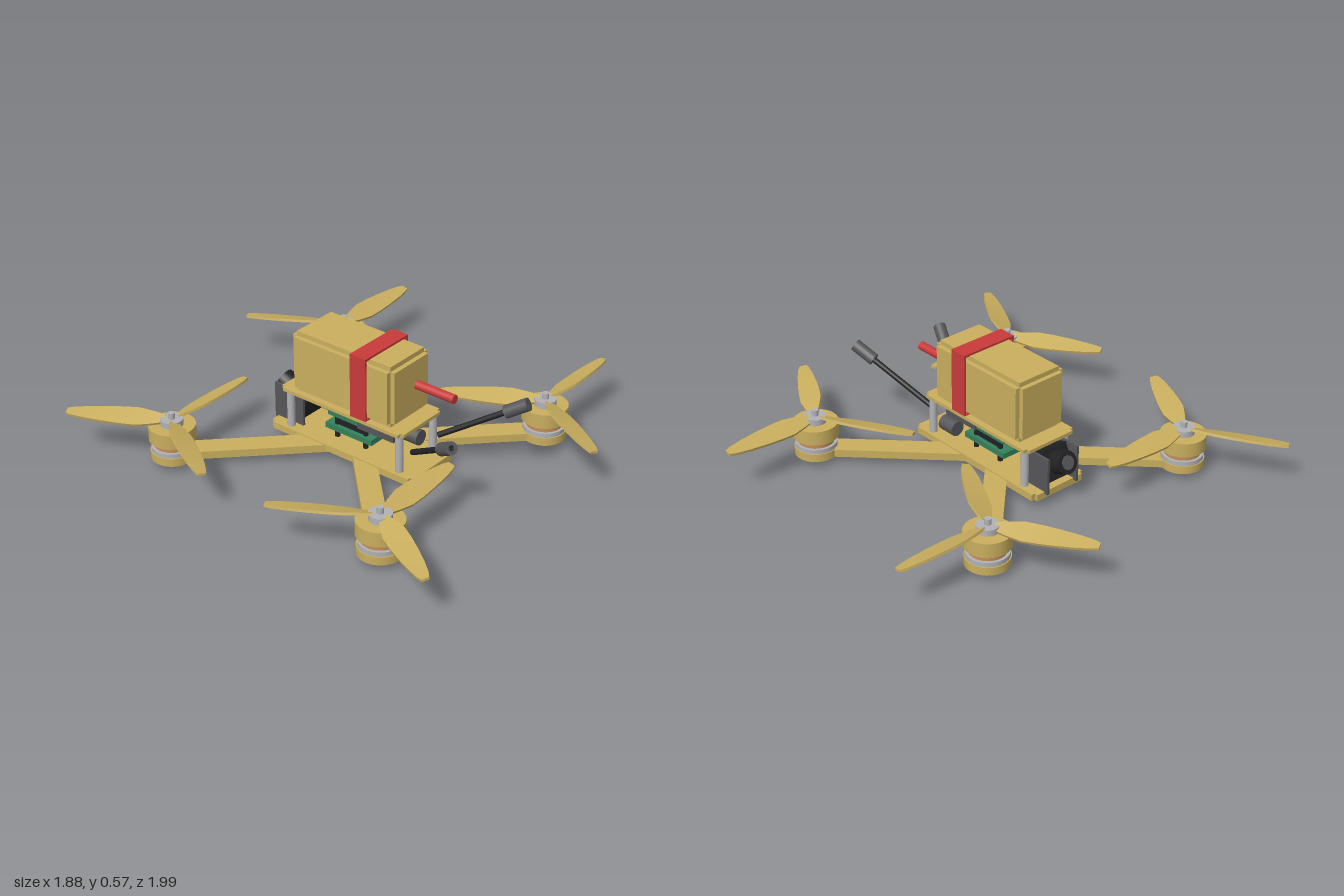
import * as THREE from 'three';

const mat = (name, color) => {
  const m = new THREE.MeshStandardMaterial({ color });
  m.name = name;
  return m;
};

export function createModel() {
  const gold = mat('gold', 0xc9ae5e), silver = mat('silver', 0xb2b2b6), copper = mat('copper', 0xc48d58);
  const red = mat('red', 0xc93a3a), green = mat('green', 0x35805c);
  const grey = mat('darkGrey', 0x56565a), black = mat('black', 0x222224);

  const model = new THREE.Group();
  model.name = 'quadcopter';
  // Everything is laid out around the frame centre, which sits a little to the right
  const drone = new THREE.Group();
  drone.name = 'drone';
  drone.position.x = -0.11;
  model.add(drone);

  const add = (parent, name, geo, material, x = 0, y = 0, z = 0) => {
    const m = new THREE.Mesh(geo, material);
    m.name = name;
    m.position.set(x, y, z);
    parent.add(m);
    return m;
  };
  const box = (parent, name, material, w, h, d, x, y, z) =>
    add(parent, name, new THREE.BoxGeometry(w, h, d), material, x, y, z);
  // Upright cylinder given by its bottom and top heights
  const post = (parent, name, material, r, y0, y1, x = 0, z = 0, sides = 32) =>
    add(parent, name, new THREE.CylinderGeometry(r, r, y1 - y0, sides), material, x, (y0 + y1) / 2, z);
  // Cylinder between two points
  const rod = (parent, name, material, r, a, b, sides = 20) => {
    const d = b.clone().sub(a);
    const m = add(parent, name, new THREE.CylinderGeometry(r, r, d.length(), sides), material);
    m.position.copy(a).lerp(b, 0.5);
    m.quaternion.setFromUnitVectors(new THREE.Vector3(0, 1, 0), d.normalize());
    return m;
  };
  // Plate with square notches in its corners
  const plate = (name, w, d, y0, y1) => {
    const n = 0.018, s = new THREE.Shape(), a = w / 2, b = d / 2;
    [[a, -b + n], [a, b - n], [a - n, b - n], [a - n, b], [-a + n, b], [-a + n, b - n],
      [-a, b - n], [-a, -b + n], [-a + n, -b + n], [-a + n, -b], [a - n, -b], [a - n, -b + n]]
      .forEach(([x, y], i) => (i ? s.lineTo(x, y) : s.moveTo(x, y)));
    const g = new THREE.ExtrudeGeometry(s, { depth: y1 - y0, bevelEnabled: false });
    g.rotateX(-Math.PI / 2);
    return add(drone, name, g, gold, 0, y0, 0);
  };

  // Frame plates, crossed arms and centre bolt
  plate('bottomPlate', 0.3, 0.8, 0.042, 0.074);
  plate('topPlate', 0.29, 0.68, 0.252, 0.268);
  for (const s of [1, -1]) {
    const arm = box(drone, 'crossArm', gold, 1.64, 0.036, 0.1, 0, 0.05, 0);
    arm.rotation.y = s * Math.PI / 4;
  }
  post(drone, 'boltHead', black, 0.05, 0, 0.025);
  post(drone, 'boltShaft', black, 0.03, 0.02, 0.09);
  for (const x of [-0.117, 0.117]) for (const z of [-0.3, 0.31])
    post(drone, 'standoff', silver, 0.018, 0.07, 0.255, x, z, 16);

  // Tapered, twisted propeller blade along +x
  const widths = [[0.03, 0.02], [0.08, 0.034], [0.15, 0.049], [0.22, 0.049], [0.3, 0.044],
    [0.38, 0.036], [0.44, 0.026], [0.47, 0.016]];
  const bladeGeometry = (pitch) => {
    const n = widths.length - 1;
    const g = new THREE.BoxGeometry(n, 0.012, 2, n, 1, 1);
    const p = g.attributes.position;
    for (let i = 0; i < p.count; i++) {
      const [r, half] = widths[Math.round(p.getX(i) + n / 2)];
      const t = pitch * (0.42 - 0.5 * r);
      const z = p.getZ(i) * half, y = p.getY(i);
      p.setXYZ(i, r, y * Math.cos(t) - z * Math.sin(t), y * Math.sin(t) + z * Math.cos(t));
    }
    g.computeVertexNormals();
    return g;
  };

  // Motors with propellers; diagonal pairs spin the same way
  for (const sx of [-1, 1]) for (const sz of [-1, 1]) {
    const motor = new THREE.Group();
    motor.name = 'motor';
    motor.position.set(sx * 0.58, 0, sz * 0.58);
    drone.add(motor);
    post(motor, 'motorMount', gold, 0.1, 0.031, 0.069);
    post(motor, 'motorBase', silver, 0.095, 0.069, 0.09);
    post(motor, 'motorWinding', copper, 0.082, 0.09, 0.12);
    post(motor, 'motorBell', gold, 0.104, 0.12, 0.188);
    post(motor, 'propellerHub', silver, 0.05, 0.185, 0.217);
    post(motor, 'motorShaft', silver, 0.015, 0.21, 0.245, 0, 0, 16);
    const geo = bladeGeometry(-sx * sz);
    for (let i = 0; i < 3; i++)
      add(motor, 'propellerBlade', geo, gold, 0, 0.209, 0).rotation.y = i * Math.PI * 2 / 3;
  }

  // Battery from three crossed boxes, giving stepped edges
  const c = 0.022;
  [[0, c, c], [c, 0, c], [c, c, 0]].forEach(([a, b, d]) =>
    box(drone, 'battery', gold, 0.272 - 2 * a, 0.292 - 2 * b, 0.56 - 2 * d, 0, 0.414, 0));
  // Strap around the battery
  box(drone, 'strapTop', red, 0.29, 0.012, 0.085, 0, 0.564, 0.105);
  box(drone, 'strapBottom', red, 0.29, 0.006, 0.085, 0, 0.271, 0.105);
  for (const s of [-1, 1]) box(drone, 'strapSide', red, 0.01, 0.3, 0.085, s * 0.14, 0.419, 0.105);
  rod(drone, 'batteryLead', red, 0.02, new THREE.Vector3(0.04, 0.418, 0.25), new THREE.Vector3(0.04, 0.418, 0.48));

  // Circuit stack between the plates
  box(drone, 'lowerBoard', green, 0.17, 0.026, 0.26, 0, 0.125, 0);
  box(drone, 'upperBoard', green, 0.16, 0.024, 0.235, 0, 0.192, 0);
  box(drone, 'processor', black, 0.13, 0.03, 0.13, 0, 0.152, 0);
  for (const x of [-0.06, 0.06]) for (const z of [-0.08, 0.08])
    post(drone, 'boardSpacer', black, 0.012, 0.07, 0.24, x, z, 12);
  box(drone, 'transmitter', grey, 0.18, 0.055, 0.2, 0, 0.205, 0.155);
  rod(drone, 'capacitor', grey, 0.036, new THREE.Vector3(0.085, 0.128, 0.18), new THREE.Vector3(0.085, 0.128, 0.27));

  // Antennas with thick tips
  const antennas = [[[-0.09, 0.175, 0.36], [-0.21, 0.365, 0.65]], [[0.09, 0.175, 0.36], [0.235, 0.395, 0.72]]];
  for (const [a, b] of antennas) {
    const base = new THREE.Vector3(...a), tip = new THREE.Vector3(...b);
    rod(drone, 'antennaStem', black, 0.013, base, tip, 12);
    rod(drone, 'antennaTip', grey, 0.029, base.clone().lerp(tip, 0.75), tip);
  }

  // Camera between two side plates, tilted upwards
  for (const s of [-1, 1]) box(drone, 'cameraSidePlate', grey, 0.012, 0.175, 0.165, s * 0.086, 0.152, -0.335);
  const camera = new THREE.Group();
  camera.name = 'camera';
  camera.position.set(0, 0.155, -0.325);
  camera.rotation.x = 0.4;
  drone.add(camera);
  box(camera, 'cameraBody', black, 0.15, 0.14, 0.12, 0, 0, 0);
  const V = (z) => new THREE.Vector3(0, 0, z);
  rod(camera, 'lensBarrel', black, 0.052, V(-0.05), V(-0.13), 24);
  rod(camera, 'lensGlass', grey, 0.032, V(-0.12), V(-0.134), 24);
  return model;
}
